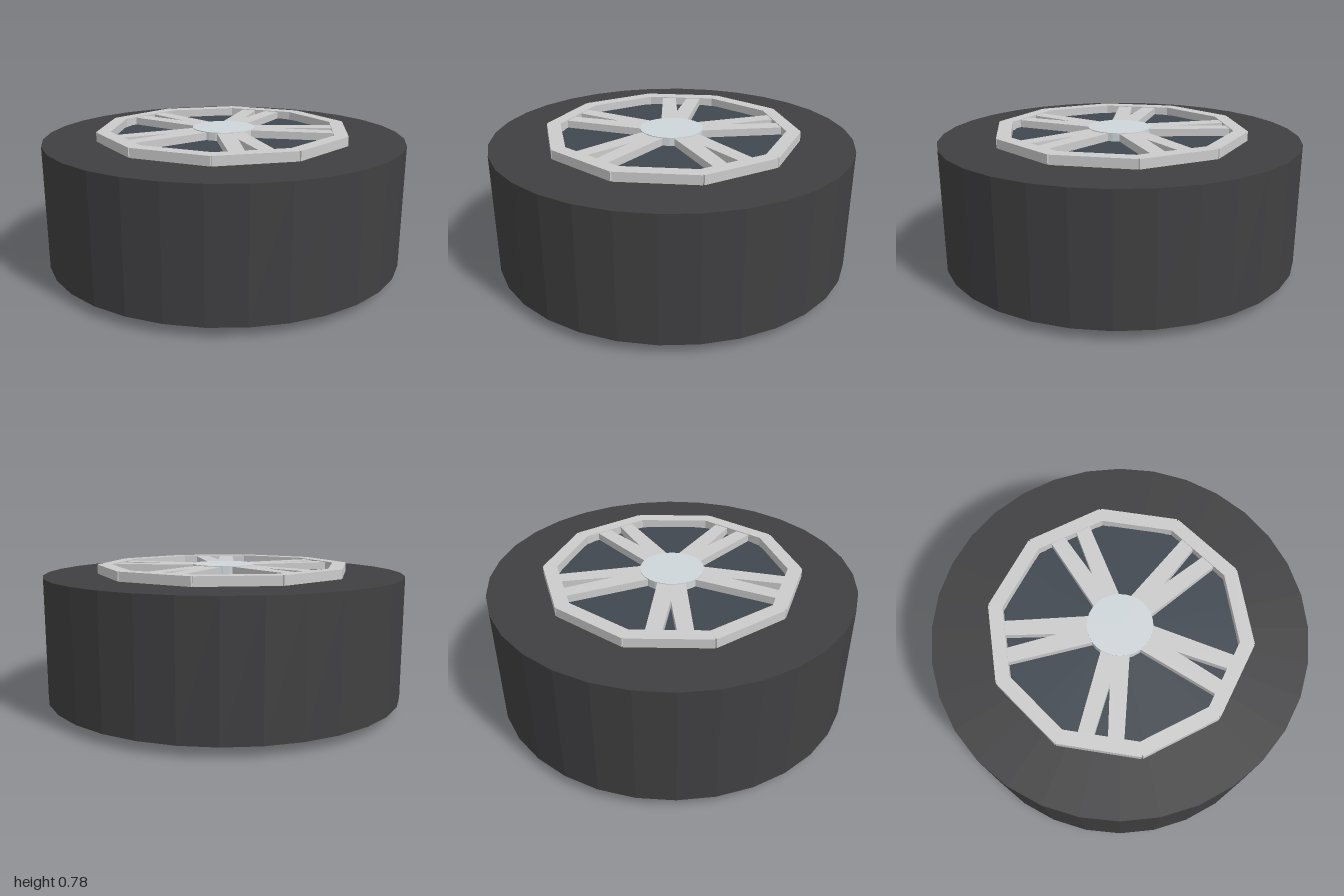
import * as THREE from 'three';

const HEIGHT = 0.78;
const MID = HEIGHT / 2 + 0.002;

const mat = (color) => new THREE.MeshStandardMaterial({ color, flatShading: true });

function addMesh(parent, name, geometry, material, y = 0) {
  const mesh = new THREE.Mesh(geometry, material);
  mesh.name = name;
  mesh.position.y = y;
  parent.add(mesh);
  return mesh;
}

// Upright prism from a plan outline given as [x, z] points
function prism(points, bottom, top) {
  const shape = new THREE.Shape(points.map(([x, z]) => new THREE.Vector2(x, -z)));
  const g = new THREE.ExtrudeGeometry(shape, { depth: top - bottom, bevelEnabled: false });
  return g.rotateX(-Math.PI / 2).translate(0, bottom, 0);
}

export function createModel() {
  const model = new THREE.Group();
  model.name = 'wheel';
  const rubber = mat(0x404042);
  const dark = mat(0x40474f);
  const metal = mat(0xcccccc);
  const capMetal = mat(0xcfd6da);

  // Tyre and the dark disc behind the spokes
  addMesh(model, 'tyre', new THREE.CylinderGeometry(1, 1, 0.675, 32), rubber, MID);
  addMesh(model, 'wheelDisc', new THREE.CylinderGeometry(0.62, 0.62, 0.685, 32), dark, MID);

  // Ten straight bars form the rim
  const rim = new THREE.Group();
  rim.name = 'rim';
  model.add(rim);
  const barShape = new THREE.BoxGeometry(0.075, HEIGHT, 0.43).translate(0.637, HEIGHT / 2, 0);
  for (let i = 0; i < 10; i++) {
    addMesh(rim, 'rimBar', barShape, metal).rotation.y = (i * Math.PI) / 5;
  }

  // Five forked spokes
  const spokes = new THREE.Group();
  spokes.name = 'spokes';
  model.add(spokes);
  const fork = prism([
    [0.1, 0.07], [0.63, 0.12], [0.63, 0.039], [0.33, 0],
    [0.63, -0.039], [0.63, -0.12], [0.1, -0.07],
  ], 0.004, HEIGHT - 0.004);
  for (let i = 0; i < 5; i++) {
    addMesh(spokes, 'spoke', fork, metal).rotation.y = (i * Math.PI * 2) / 5;
  }

  // Hub cap running through the centre
  addMesh(model, 'hub', new THREE.CylinderGeometry(0.175, 0.175, HEIGHT, 32), capMetal, HEIGHT / 2);

  return model;
}
